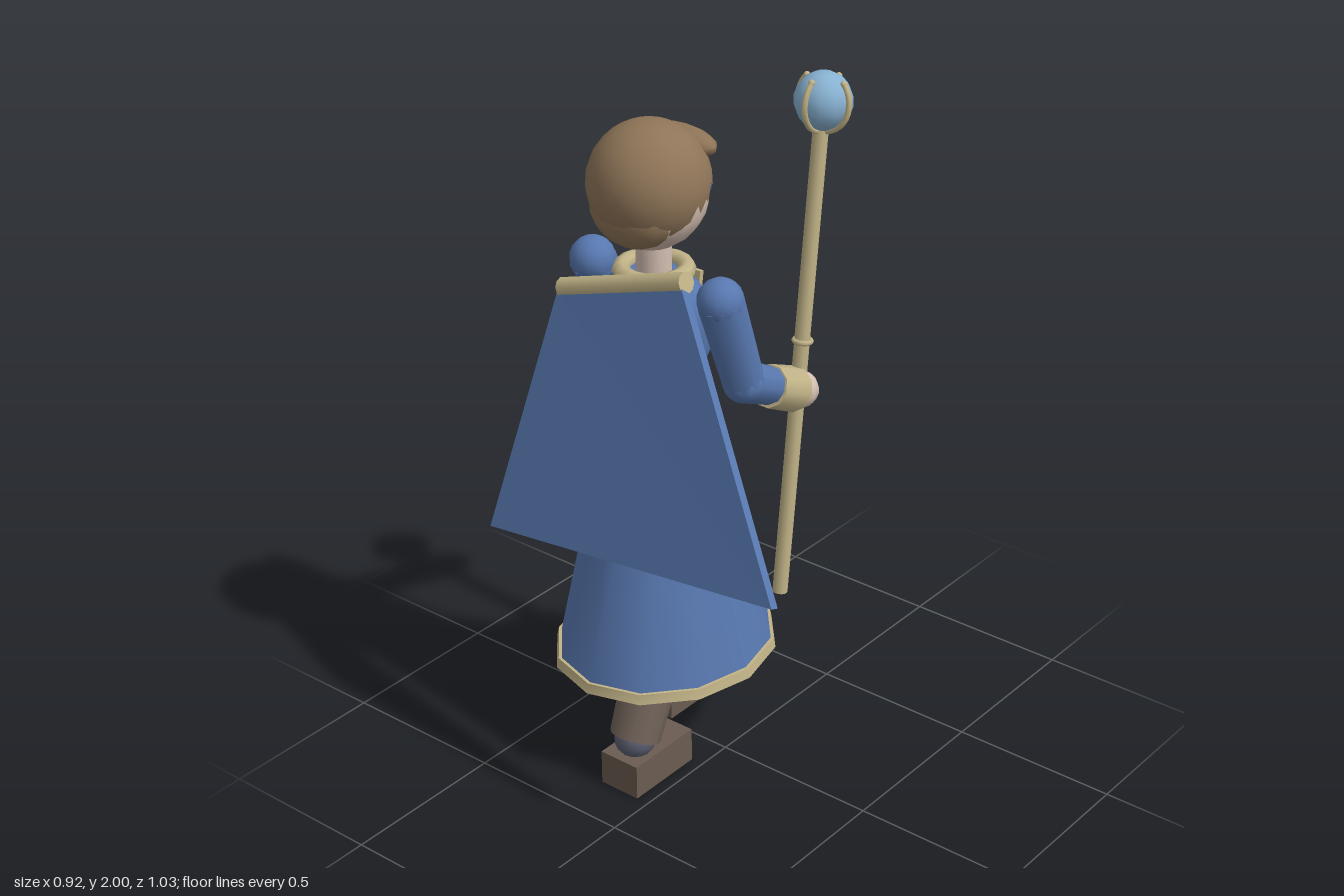
import * as THREE from 'three';

const V = (x, y, z) => new THREE.Vector3(x, y, z);
const MID = -0.2; // z of the body's middle plane

export function createModel() {
  const root = new THREE.Group();
  root.name = 'staffBearer';

  const mat = (name, color, side = THREE.FrontSide) => {
    const m = new THREE.MeshStandardMaterial({ color, side });
    m.name = name;
    return m;
  };
  const blue = mat('robeBlue', 0x5878b0);
  const gold = mat('trimGold', 0xc2b488);
  const skin = mat('skin', 0xd4bfb2);
  const brown = mat('hairBrown', 0x8f7558, THREE.DoubleSide);
  const trouser = mat('trouserBrown', 0x71635a);
  const leather = mat('bootBrown', 0x6b5c51);
  const slate = mat('ankleSlate', 0x5c5f72);
  const orbBlue = mat('orbBlue', 0x88b2d2);
  const eyeBlue = mat('eyeBlue', 0x4668a4);
  const soot = mat('patchGrey', 0x575a66);

  const add = (name, geo, material, pos) => {
    const m = new THREE.Mesh(geo, material);
    m.name = name;
    if (pos) m.position.copy(pos);
    root.add(m);
    return m;
  };
  const ball = (name, material, pos, rx, ry = rx, rz = rx, seg = 12) => {
    const m = add(name, new THREE.SphereGeometry(1, seg, Math.ceil(seg * 0.7)), material, pos);
    m.scale.set(rx, ry, rz);
    return m;
  };
  // Cylinder from a to b
  const rod = (name, material, a, b, ra, rb = ra, seg = 10) => {
    const d = b.clone().sub(a);
    const m = add(name, new THREE.CylinderGeometry(rb, ra, d.length(), seg), material,
      a.clone().add(b).multiplyScalar(0.5));
    m.quaternion.setFromUnitVectors(V(0, 1, 0), d.normalize());
    return m;
  };
  // Closed loft through elliptical rings [y, centreX, radiusX, radiusZ], top to bottom
  const loft = (name, material, rings, seg = 12) => {
    const n = rings.length - 1;
    const g = new THREE.CylinderGeometry(1, 1, 1, seg, n);
    const p = g.attributes.position;
    for (let i = 0; i < p.count; i++) {
      const [y, cx, rx, rz] = rings[Math.round((0.5 - p.getY(i)) * n)];
      p.setXYZ(i, cx + p.getX(i) * rx, y, MID + p.getZ(i) * rz);
    }
    g.computeVertexNormals();
    return add(name, g, material);
  };

  // Robe
  loft('skirt', blue, [[1.08, -0.055, 0.165, 0.128], [0.33, -0.027, 0.337, 0.297]]);
  loft('skirtHem', gold, [[0.335, -0.028, 0.344, 0.305], [0.305, -0.028, 0.35, 0.311]]);
  loft('waist', blue, [[1.22, -0.06, 0.15, 0.122], [1.07, -0.058, 0.152, 0.122]], 16);
  loft('chest', blue, [
    [1.51, -0.055, 0.06, 0.09], [1.48, -0.055, 0.095, 0.13], [1.43, -0.053, 0.125, 0.165],
    [1.37, -0.052, 0.137, 0.175], [1.3, -0.05, 0.127, 0.165], [1.25, -0.048, 0.107, 0.145],
    [1.21, -0.045, 0.08, 0.11]], 16);
  const collar = add('collar', new THREE.TorusGeometry(0.09, 0.025, 8, 16), gold, V(-0.058, 1.51, MID));
  collar.rotation.x = Math.PI / 2;

  // Hanging neck ribbon with two tails
  const ribbon = add('ribbon', new THREE.BoxGeometry(0.015, 0.21, 0.042), gold, V(0.1, 1.345, MID + 0.005));
  ribbon.rotation.z = -0.14;
  for (const s of [-1, 1]) {
    const tail = add('ribbonTail', new THREE.BoxGeometry(0.012, 0.11, 0.013), gold,
      V(0.09, 1.2 + s * 0.01, MID + 0.003 + s * 0.014));
    tail.rotation.x = -s * 0.05;
  }

  // Worn patches on both sides of the skirt
  const outline = [[-0.07, 0.025], [-0.03, 0.03], [-0.005, 0.055], [0.01, 0.035], [0.065, 0.03],
    [0.07, -0.005], [0.025, -0.04], [-0.015, -0.085], [-0.03, -0.065], [-0.065, -0.055], [-0.05, -0.015]];
  for (const s of [-1, 1]) {
    const pts = outline.map(([x, y]) => new THREE.Vector2(s * x, y));
    const g = new THREE.ExtrudeGeometry(new THREE.Shape(pts), { depth: 0.009, bevelEnabled: false });
    const patch = add('patch', g, soot, V(-0.062, 0.93, MID + s * 0.153));
    patch.rotation.order = 'YXZ';
    patch.rotation.set(-0.22, s > 0 ? 0 : Math.PI, 0);
  }

  // Head and face
  rod('neck', skin, V(-0.058, 1.49, MID), V(-0.058, 1.63, MID), 0.05, 0.05, 12);
  ball('head', skin, V(-0.07, 1.742, MID), 0.16, 0.16, 0.16, 18);
  for (const s of [-1, 1]) {
    const eye = ball('eye', eyeBlue, V(0.074, 1.75, MID + s * 0.072), 0.015, 0.05, 0.028);
    eye.rotation.y = -s * 0.35;
  }

  // Hair cap whose lower edge rises from the nape to the brow
  const cap = new THREE.SphereGeometry(1, 28, 10);
  const cp = cap.attributes.position, uv = cap.attributes.uv;
  const edge = [[0, 78], [40, 82], [62, 92], [75, 107], [95, 110], [105, 135], [115, 155], [180, 158]];
  const edgeAt = (a) => {
    const k = Math.max(1, edge.findIndex((e) => e[0] >= a));
    const [a0, e0] = edge[k - 1], [a1, e1] = edge[k];
    return e0 + (e1 - e0) * (a - a0) / (a1 - a0);
  };
  for (let i = 0; i < cp.count; i++) {
    const phi = uv.getX(i) * Math.PI * 2;
    const fromFront = Math.min(180, Math.abs(uv.getX(i) * 360 - 180));
    const t = (1 - uv.getY(i)) * edgeAt(fromFront) * Math.PI / 180;
    cp.setXYZ(i, -Math.cos(phi) * Math.sin(t), Math.cos(t), Math.sin(phi) * Math.sin(t));
    cap.attributes.normal.setXYZ(i, cp.getX(i), cp.getY(i), cp.getZ(i));
  }
  add('hair', cap, brown, V(-0.073, 1.767, MID)).scale.set(0.17, 0.173, 0.17);
  ball('hairNape', brown, V(-0.143, 1.705, MID), 0.085, 0.1, 0.132);
  ball('fringe', brown, V(0.043, 1.855, MID + 0.01), 0.052, 0.04, 0.125).rotation.z = 0.15;

  // Arms: shoulder, elbow, cuff start, cuff end, hand
  const arms = [
    [V(-0.058, 1.48, 0.03), V(0.03, 1.21, 0.04), V(0.14, 1.152, 0.042), V(0.25, 1.1, 0.043), V(0.28, 1.088, 0.045)],
    [V(-0.058, 1.48, -0.42), V(0.06, 1.255, -0.43), V(0.205, 1.185, -0.437), V(0.31, 1.132, -0.437), V(0.345, 1.117, -0.437)],
  ];
  for (const [shoulder, elbow, cuffA, cuffB, hand] of arms) {
    ball('shoulder', blue, shoulder, 0.066);
    rod('upperArm', blue, shoulder, elbow, 0.066, 0.06);
    ball('elbow', blue, elbow, 0.061);
    rod('forearm', blue, elbow, cuffB, 0.06, 0.05);
    rod('cuff', gold, cuffA, cuffB, 0.062, 0.066);
    ball('hand', skin, hand, 0.054);
  }

  // Legs, one striding forward
  const legs = [
    [V(-0.17, 0.42, -0.105), V(-0.283, 0.15, -0.105), -0.232],
    [V(0.08, 0.42, -0.285), V(0.085, 0.155, -0.285), 0.14],
  ];
  for (const [hip, ankle, bootX] of legs) {
    rod('trouserLeg', trouser, hip, ankle, 0.085, 0.074, 12);
    ball('ankle', slate, V(ankle.x, 0.148, ankle.z), 0.062);
    add('boot', new THREE.BoxGeometry(0.247, 0.106, 0.132), leather, V(bootX, 0.053, ankle.z));
  }

  // Staff with ring, orb and claws
  const foot = V(0.2, 0.46, 0.043), top = V(0.372, 1.92, 0.04);
  const shaft = rod('staff', gold, foot, V(0.363, 1.85, 0.04), 0.022);
  const ring = add('staffRing', new THREE.TorusGeometry(0.024, 0.008, 6, 14), gold, V(0.291, 1.235, 0.043));
  ring.quaternion.copy(shaft.quaternion).multiply(
    new THREE.Quaternion().setFromAxisAngle(V(1, 0, 0), Math.PI / 2));
  ball('orb', orbBlue, top, 0.082);
  for (let i = 0; i < 4; i++) {
    const a = i * Math.PI / 2, pts = [];
    for (let k = 0; k <= 8; k++) {
      const t = Math.PI - k * 0.29;
      pts.push(V(Math.sin(t) * Math.cos(a), Math.cos(t), Math.sin(t) * Math.sin(a)).multiplyScalar(0.084));
    }
    const claw = add('claw', new THREE.TubeGeometry(new THREE.CatmullRomCurve3(pts), 12, 0.009, 6), gold, top);
    claw.quaternion.copy(shaft.quaternion);
    const tip = pts[8].clone().applyQuaternion(shaft.quaternion).add(top);
    ball('clawTip', gold, tip, 0.01, 0.01, 0.01, 8);
  }

  // Cape hung from a slanted bar
  rod('capeBar', gold, V(-0.182, 1.575, 0.015), V(-0.182, 1.435, -0.42), 0.03);
  const corners = [V(-0.205, 1.57, 0.015), V(-0.455, 0.9, 0.513), V(-0.412, 0.755, -0.515), V(-0.205, 1.435, -0.42)];
  const off = V(0.027, -0.01, 0);
  const inner = corners.map((c) => c.clone().add(off));
  const tri = [];
  const quad = (a, b, c, d) => [a, b, c, a, c, d].forEach((v) => tri.push(v));
  quad(corners[3], corners[2], corners[1], corners[0]);
  quad(...inner);
  for (let i = 0; i < 4; i++) {
    const j = (i + 1) % 4;
    quad(corners[i], corners[j], inner[j], inner[i]);
  }
  const cape = new THREE.BufferGeometry().setFromPoints(tri);
  // Turn the faces outward
  const p = cape.attributes.position;
  const centre = [...corners, ...inner].reduce((s, c) => s.add(c), V(0, 0, 0)).divideScalar(8);
  for (let i = 0; i < p.count; i += 3) {
    const [a, b, c] = [0, 1, 2].map((k) => V(0, 0, 0).fromBufferAttribute(p, i + k));
    const n = b.clone().sub(a).cross(c.clone().sub(a));
    if (n.dot(a.clone().sub(centre)) < 0) {
      p.setXYZ(i + 1, c.x, c.y, c.z);
      p.setXYZ(i + 2, b.x, b.y, b.z);
    }
  }
  cape.computeVertexNormals();
  add('cape', cape, blue);

  return root;
}
